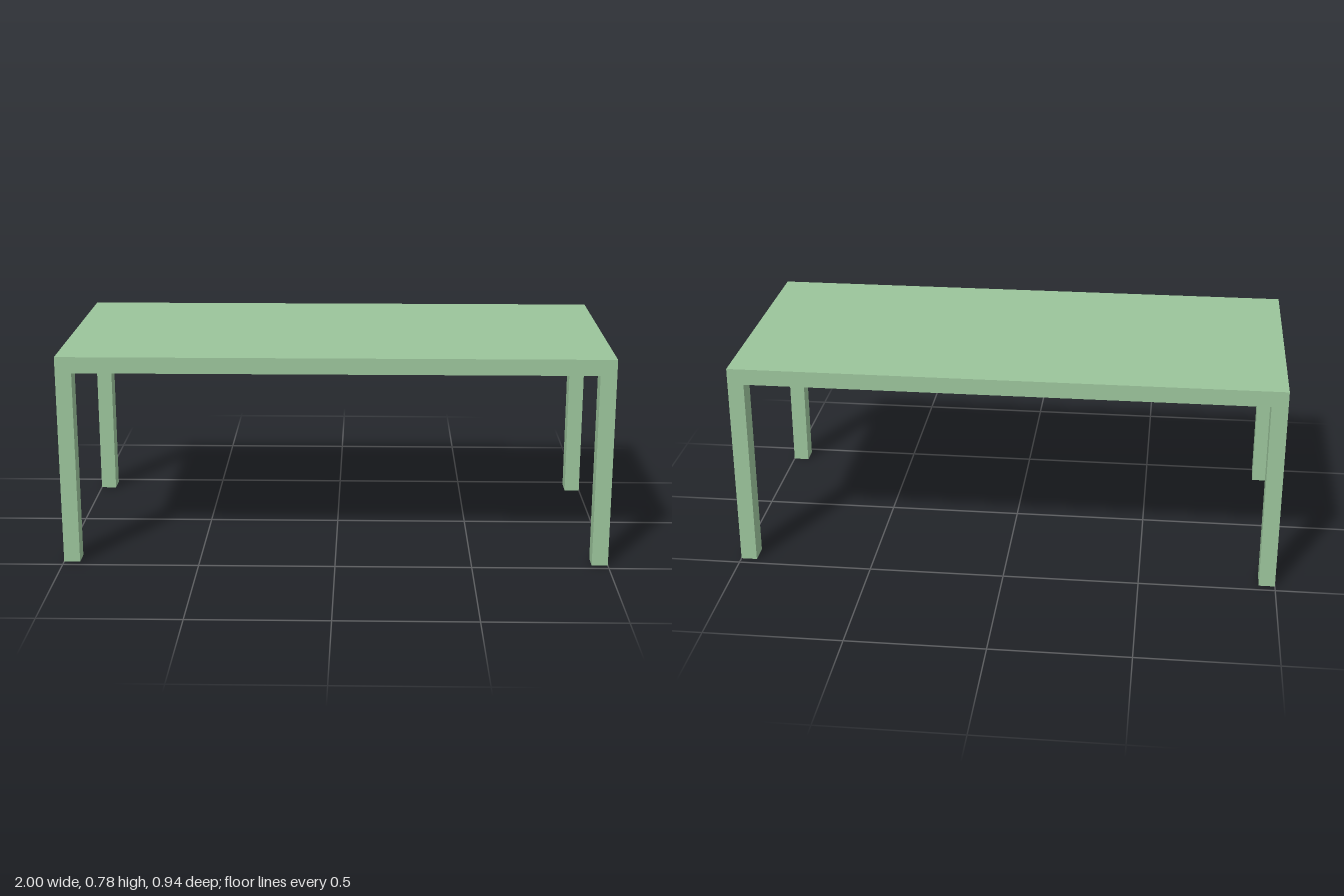
import * as THREE from 'three';

const material = new THREE.MeshStandardMaterial({ color: 0x9bc49b });

// Box given by its minimum and maximum corners
function box(name, [x0, y0, z0], [x1, y1, z1]) {
  const mesh = new THREE.Mesh(new THREE.BoxGeometry(x1 - x0, y1 - y0, z1 - z0), material);
  mesh.name = name;
  mesh.position.set((x0 + x1) / 2, (y0 + y1) / 2, (z0 + z1) / 2);
  return mesh;
}

export function createModel() {
  const table = new THREE.Group();
  table.name = 'table';
  const halfX = 1, halfZ = 0.47, top = 0.776, underside = 0.717, legX = 0.059;

  // Flat slab top
  table.add(box('tableTop', [-halfX, underside, -halfZ], [halfX, top, halfZ]));

  // Four legs flush with the corners; the back pair is slightly deeper
  for (const [side, x] of [['Left', halfX - legX], ['Right', -halfX]]) {
    table.add(box(`front${side}Leg`, [x, 0, 0.401], [x + legX, underside, halfZ]));
    table.add(box(`back${side}Leg`, [x, 0, -halfZ], [x + legX, underside, -0.393]));
  }
  return table;
}
